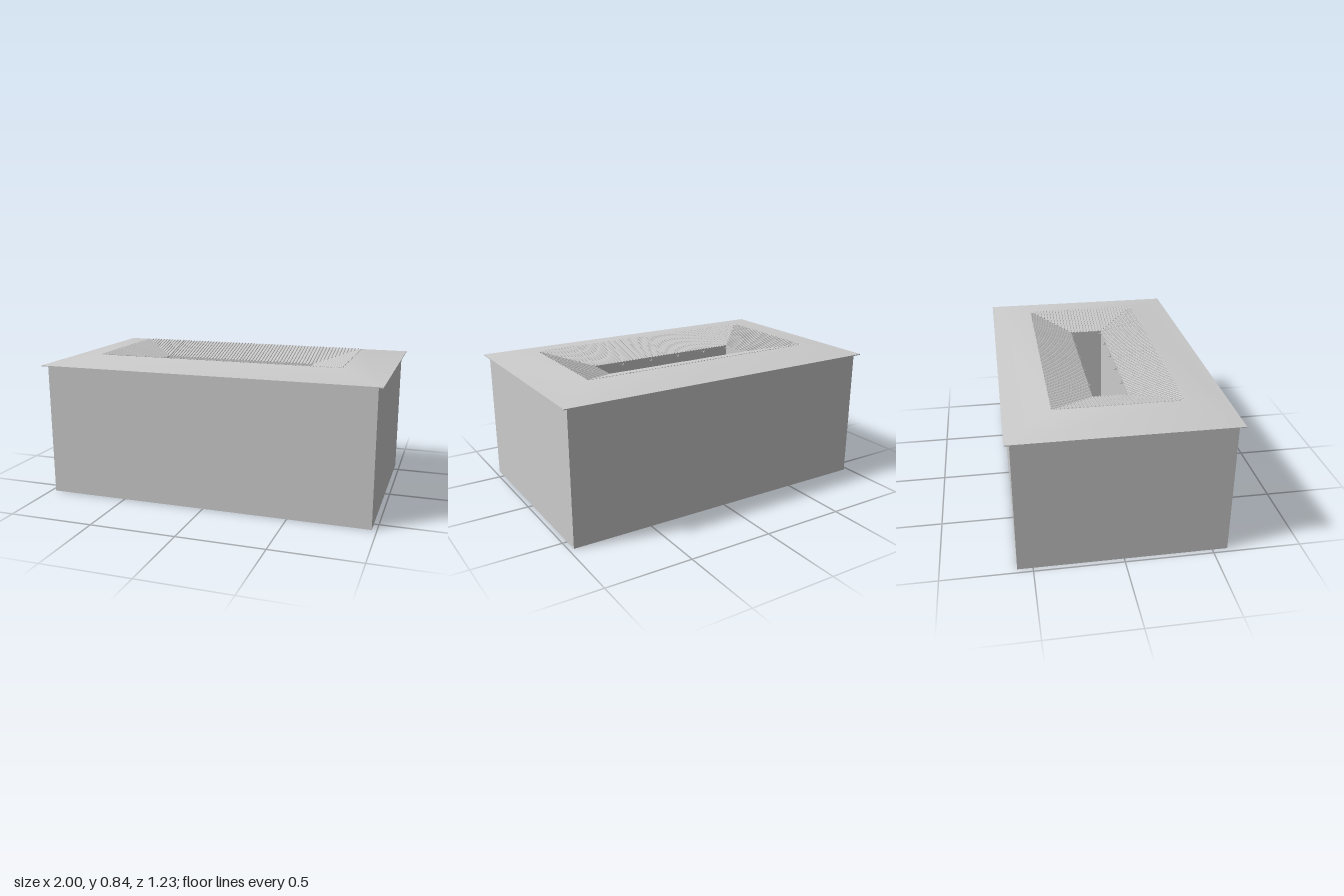
import * as THREE from 'three';

const material = new THREE.MeshStandardMaterial({ color: 0xcccccc, side: THREE.DoubleSide });

// A rectangle level: half width, height, half depth
const eaveLow = [1, 0.785, 0.613], eave = [1, 0.79, 0.613];
const ridge = [0.742, 0.83, 0.356], gutter = [0.488, 0.76, 0.103];
const wallTop = [0.972, 0.785, 0.586], wallBase = [0.972, 0, 0.586];
const courtBase = [0.488, 0.01, 0.103];

// Four-sided band between two rectangle levels
function band(name, a, b, smooth = false) {
  const signs = [[1, 1], [1, -1], [-1, -1], [-1, 1]];
  const points = [a, b].flatMap(([w, y, d]) => signs.flatMap(([sx, sz]) => [sx * w, y, sz * d]));
  const index = [];
  for (let i = 0; i < 4; i++) {
    const j = (i + 1) % 4;
    index.push(i, j, j + 4, i, j + 4, i + 4);
  }
  let geometry = new THREE.BufferGeometry();
  geometry.setAttribute('position', new THREE.Float32BufferAttribute(points, 3));
  geometry.setIndex(index);
  if (!smooth) geometry = geometry.toNonIndexed();
  geometry.computeVertexNormals();
  const mesh = new THREE.Mesh(geometry, material);
  mesh.name = name;
  return mesh;
}

// Round rod between two points
function rod(name, from, to, radius, sides = 6) {
  const dir = to.clone().sub(from);
  const mesh = new THREE.Mesh(new THREE.CylinderGeometry(radius, radius, dir.length(), sides), material);
  mesh.position.copy(from).add(to).multiplyScalar(0.5);
  mesh.quaternion.setFromUnitVectors(new THREE.Vector3(0, 1, 0), dir.normalize());
  mesh.name = name;
  return mesh;
}

// Tile ribs running down the inner roof slopes, cut short along the valleys
function tileRibs() {
  const group = new THREE.Group();
  group.name = 'tileRibs';
  const pitch = 0.0205;
  const slope = (t) => THREE.MathUtils.lerp(ridge[1], gutter[1], t);
  for (const [along, across] of [[0, 2], [2, 0]]) {
    const count = Math.floor(ridge[along] / pitch);
    for (let i = -count; i <= count; i++) {
      const s = i * pitch;
      const t = Math.min(1, (ridge[along] - Math.abs(s)) / (ridge[along] - gutter[along]));
      if (t < 0.03) continue;
      const end = THREE.MathUtils.lerp(ridge[across], gutter[across], t);
      for (const side of [1, -1]) {
        const point = (y, c) => along === 0
          ? new THREE.Vector3(s, y, side * c) : new THREE.Vector3(side * c, y, s);
        group.add(rod('tileRib', point(slope(0), ridge[across]), point(slope(t), end), 0.005));
      }
    }
  }
  return group;
}

// Water spouts hanging at the courtyard edge
function spouts() {
  const group = new THREE.Group();
  group.name = 'waterSpouts';
  for (const side of [1, -1]) {
    for (const x of [-0.48, -0.3, -0.1, 0.1, 0.3, 0.48]) {
      const spout = new THREE.Mesh(new THREE.TorusGeometry(0.01, 0.003, 5, 8, Math.PI), material);
      spout.name = 'waterSpout';
      spout.rotation.z = Math.PI;
      spout.position.set(x, 0.752, side * 0.098);
      group.add(spout);
      group.add(rod('spoutBracket', new THREE.Vector3(x, 0.742, side * 0.103),
        new THREE.Vector3(x, 0.742, side * 0.085), 0.003));
    }
  }
  return group;
}

export function createModel() {
  const model = new THREE.Group();
  model.name = 'courtyardBuilding';

  // Walls and floor
  model.add(band('outerWalls', wallBase, wallTop));
  model.add(band('courtyardWalls', gutter, courtBase));
  const floor = new THREE.Mesh(new THREE.BoxGeometry(wallBase[0] * 2, 0.01, wallBase[2] * 2), material);
  floor.name = 'floor';
  floor.position.y = 0.005;
  model.add(floor);

  // Roof: flat soffit, eave edge, outer slope and inner slope
  model.add(band('soffit', wallTop, eaveLow));
  model.add(band('eaveEdge', eaveLow, eave));
  model.add(band('outerRoof', eave, ridge, true));
  model.add(band('innerRoof', ridge, gutter));
  model.add(tileRibs(), spouts());

  // Seams across the inner slopes
  for (const side of [1, -1]) {
    for (const x of [-gutter[0], 0, gutter[0]]) {
      model.add(rod('roofSeam', new THREE.Vector3(x, ridge[1], side * ridge[2]),
        new THREE.Vector3(x, gutter[1], side * gutter[2]), 0.006));
    }
    for (const z of [-gutter[2], gutter[2]]) {
      model.add(rod('roofSeam', new THREE.Vector3(side * ridge[0], ridge[1], z),
        new THREE.Vector3(side * gutter[0], gutter[1], z), 0.006));
    }
  }
  return model;
}
